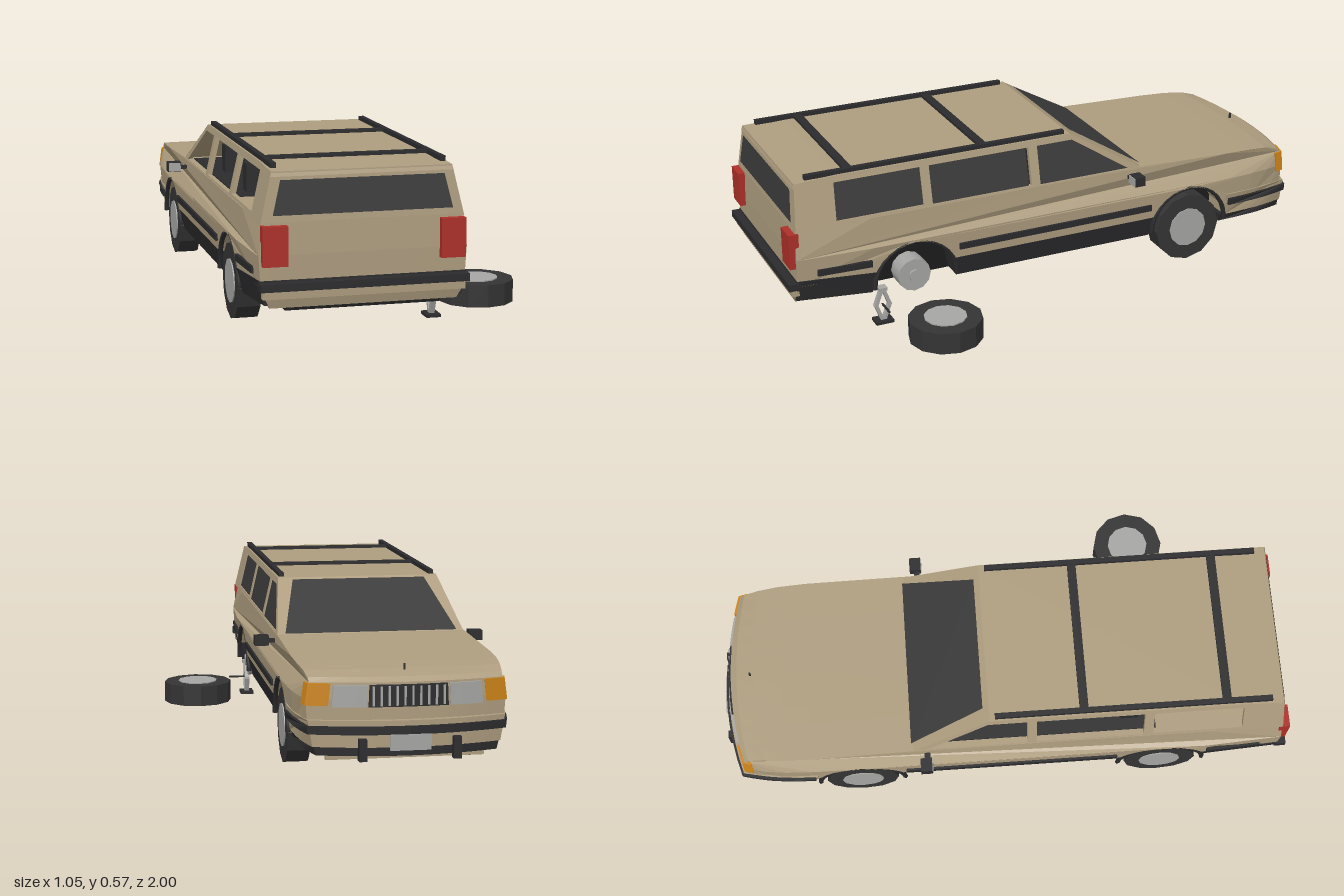
import * as THREE from 'three';

const mat = (name, color, opt = {}) => {
  const m = new THREE.MeshStandardMaterial({ color, ...opt });
  m.name = name;
  return m;
};

export function createModel() {
  const tan = mat('tan paint', 0xae9d7f), dark = mat('dark trim', 0x2c2c2e), glass = mat('dark glass', 0x3a3a3a);
  const under = mat('underside black', 0x1c1c1c), red = mat('tail light red', 0xae3029), amber = mat('amber', 0xcc8418);
  const grey = mat('light grey metal', 0xa6a6a4), rubber = mat('tyre rubber', 0x343435);
  tan.side = glass.side = THREE.DoubleSide;

  const root = new THREE.Group(), car = new THREE.Group();
  car.name = 'stationWagon';
  car.position.x = -0.13;
  root.add(car);

  const add = (name, geo, m, x = 0, y = 0, z = 0, parent = car) => {
    const mesh = new THREE.Mesh(geo, m);
    mesh.name = name;
    mesh.position.set(x, y, z);
    parent.add(mesh);
    return mesh;
  };
  const box = (name, m, w, h, d, x, y, z, parent) => add(name, new THREE.BoxGeometry(w, h, d), m, x, y, z, parent);

  // Extrude a side outline of [z, y] points across x; place(d, y, z) gives the final [x, z]
  function sweep(name, m, pts, place, steps = 1, holes = []) {
    const vec = (p) => p.map(([z, y]) => new THREE.Vector2(-z, y));
    const shape = new THREE.Shape(vec(pts));
    shape.holes = holes.map((h) => new THREE.Path(vec(h)));
    const geo = new THREE.ExtrudeGeometry(shape, { depth: 1, steps, bevelEnabled: false }).rotateY(Math.PI / 2);
    const p = geo.attributes.position;
    for (let i = 0; i < p.count; i++) {
      const [x, z] = place(p.getX(i), p.getY(i), p.getZ(i));
      p.setX(i, x);
      p.setZ(i, z);
    }
    geo.computeVertexNormals();
    return add(name, geo, m);
  }

  // Half width of the body, narrowing at the sill, belt line, nose and tail
  const widths = [[0.1, 0.318], [0.2, 0.343], [0.3, 0.349], [0.41, 0.325]];
  function half(y, z) {
    let i = 0;
    while (i < 2 && y > widths[i + 1][0]) i++;
    const [a, b] = [widths[i], widths[i + 1]];
    const w = a[1] + (b[1] - a[1]) * (y - a[0]) / (b[0] - a[0]);
    return w - 0.03 * Math.max(0, (-z - 0.65) / 0.32) ** 2 - 0.015 * Math.max(0, (z - 0.7) / 0.27);
  }
  // Placement across the body from t0 to t1 (-1..1), with the nose bowed in plan
  const across = (t0 = -1, t1 = 1, grow = 0) => (d, y, z) => {
    const t = t0 + (t1 - t0) * d;
    return [t * (half(y, z) + grow), z + 0.04 * t * t * Math.max(0, (-z - 0.82) / 0.14)];
  };
  // Thin plate on one body side
  const onSide = (s, out, inn = 0.012) => (d, y, z) => {
    const w = half(y, z), [a, b] = s > 0 ? [w - inn, w + out] : [-w - out, -w + inn];
    return [a + (b - a) * d, z];
  };
  const band = (z0, z1, y0, y1, n = 6) => {
    const zs = Array.from({ length: n + 1 }, (_, i) => z0 + (z1 - z0) * i / n);
    return [...zs.map((z) => [z, y0]), ...zs.reverse().map((z) => [z, y1])];
  };

  // Lower body with wheel arches
  const R = 0.152, archY = 0.14, wheelZ = [0.55, -0.52];
  const arch = (zc) => {
    const a0 = Math.asin((0.2 - archY) / R);
    return Array.from({ length: 11 }, (_, i) => {
      const a = a0 + (Math.PI - 2 * a0) * i / 10;
      return [zc + R * Math.cos(a), archY + R * Math.sin(a)];
    });
  };
  const noseZ = [-0.68, -0.78, -0.87];
  const tops = [-0.965, -0.87, -0.78, -0.68, -0.52, -0.35, 0, 0.4, 0.55, 0.7, 0.97];
  sweep('lowerBody', tan, [[0.97, 0.2], ...arch(wheelZ[0]), [0, 0.2], ...arch(wheelZ[1]),
    ...noseZ.map((z) => [z, 0.2]), [-0.965, 0.2], ...tops.map((z) => [z, 0.3])], across(), 10);

  // Upper body and hood up to the belt line
  sweep('upperBodyAndHood', tan, [...tops.slice().reverse().map((z) => [z, 0.3]), [-0.962, 0.352], [-0.94, 0.366],
    [-0.87, 0.38], [-0.78, 0.387], [-0.68, 0.391], [-0.34, 0.402], [0, 0.402], [0.7, 0.402], [0.966, 0.402]], across(), 10);

  // Dark sills and floor
  sweep('sillMiddle', dark, [[0.395, 0.125], [0.41, 0.2], [-0.38, 0.2], [-0.365, 0.125]], across());
  sweep('sillRear', dark, [[0.705, 0.125], [0.69, 0.205], [0.972, 0.222], [0.972, 0.145]], across(-1, 1, 0.003));
  box('floor', under, 0.5, 0.17, 1.62, 0, 0.208, 0.15);

  // Front bumper in layers
  sweep('frontBumper', tan, band(-0.675, -0.985, 0.15, 0.235), across(-1, 1, 0.003), 10);
  sweep('frontBumperStrip', dark, band(-0.685, -0.995, 0.192, 0.218), across(-1, 1, 0.01), 10);
  sweep('frontSpoiler', dark, band(-0.66, -0.98, 0.122, 0.152), across(-1, 1, -0.002), 10);
  box('spoilerLip', tan, 0.51, 0.025, 0.02, 0, 0.112, -0.9);
  box('frontPlate', grey, 0.13, 0.05, 0.012, 0, 0.168, -0.995);
  for (const s of [-1, 1]) box('bumperGuard', dark, 0.025, 0.07, 0.03, s * 0.15, 0.145, -0.982);

  // Grille and lamps
  sweep('grille', dark, band(-0.94, -0.969, 0.275, 0.345, 1), across(-0.4, 0.4), 6);
  for (let i = 0; i < 10; i++) box('grilleBar', grey, 0.007, 0.062, 0.006, (i - 4.5) * 0.025, 0.31, -0.967);
  for (const s of [-1, 1]) {
    const span = (a, b, g) => (s > 0 ? across(a, b, g) : across(-b, -a, g));
    sweep('headlight', grey, band(-0.94, -0.971, 0.275, 0.345, 1), span(0.42, 0.76, 0), 3);
    sweep('turnSignal', amber, band(-0.925, -0.971, 0.28, 0.35, 1), span(0.78, 1, 0.006), 3);
  }
  box('hoodOrnament', dark, 0.006, 0.02, 0.006, 0, 0.388, -0.89);

  // Rear bumper and tail lights
  box('rearBumper', tan, 0.65, 0.045, 0.025, 0, 0.188, 0.975);
  sweep('rearApron', tan, [[0.93, 0.135], [0.93, 0.17], [0.982, 0.17], [0.972, 0.135]], (d, y, z) => [(d - 0.5) * (0.6 + (y - 0.135)), z]);
  box('rearBumperStrip', dark, 0.67, 0.025, 0.04, 0, 0.204, 0.98);
  for (const s of [-1, 1]) box('tailLight', red, 0.08, 0.125, 0.035, s * 0.285, 0.33, 0.973);

  // Side rubbing strips and arch lips
  for (const s of [-1, 1]) {
    sweep('sideStrip', dark, band(0.39, -0.36, 0.232, 0.255, 3), onSide(s, 0.008));
    sweep('sideStripRear', dark, band(0.9, 0.71, 0.232, 0.255, 3), onSide(s, 0.008));
    for (const z of wheelZ) {
      const lip = new THREE.TorusGeometry(R, 0.009, 5, 14, Math.PI).rotateY(Math.PI / 2);
      add('archLip', lip, dark, s * 0.34, archY, z);
    }
  }

  // Greenhouse: side frames with window openings
  const cabin = (y) => 0.325 - (y - 0.4) * 0.232;
  const frame = [[0.965, 0.395], [0.95, 0.556], [-0.07, 0.556], [-0.335, 0.395]];
  const windows = [
    [[0.82, 0.412], [0.815, 0.54], [0.508, 0.54], [0.508, 0.412]],
    [[0.475, 0.408], [0.475, 0.54], [0.103, 0.54], [0.103, 0.408]],
    [[0.07, 0.405], [0.07, 0.54], [-0.065, 0.54], [-0.275, 0.405]],
  ];
  for (const s of [-1, 1]) {
    const layer = (o, i) => (d, y, z) => {
      const w = cabin(y), a = s > 0 ? w - i : -w - o;
      return [a + d * (o + i), z];
    };
    sweep('sideFrame', tan, frame, layer(0, 0.016), 1, windows);
    if (s > 0) windows.forEach((w) => sweep('sideGlass', glass, w.map(([z, y]) => [z === 0.103 ? 0.113 : z, y]), layer(-0.004, 0.009)));
  }
  sweep('roof', tan, [[0.955, 0.54], [0.95, 0.556], [0.8, 0.562], [-0.06, 0.562], [-0.08, 0.55], [-0.05, 0.54]],
    (d, y, z) => [(d * 2 - 1) * cabin(y), z]);

  // Flat panels given by bottom and top edges: [half width, y, z]
  function panel(name, m, [w0, y0, z0], [w1, y1, z1], flip) {
    const g = new THREE.BufferGeometry();
    g.setAttribute('position', new THREE.Float32BufferAttribute([-w0, y0, z0, w0, y0, z0, w1, y1, z1, -w1, y1, z1], 3));
    g.setIndex(flip ? [0, 2, 1, 0, 3, 2] : [0, 1, 2, 0, 2, 3]);
    g.computeVertexNormals();
    add(name, g, m);
  }
  panel('windshieldFrame', tan, [0.325, 0.398, -0.335], [0.289, 0.556, -0.07], true);
  panel('windshield', glass, [0.299, 0.406, -0.334], [0.237, 0.557, -0.08], true);
  panel('tailgateFrame', tan, [0.325, 0.395, 0.966], [0.289, 0.556, 0.951], false);
  panel('rearWindow', glass, [0.288, 0.422, 0.968], [0.262, 0.53, 0.958], false);

  // Cabin interior
  box('cabinFloor', dark, 0.6, 0.004, 0.8, 0, 0.404, 0.12);
  for (const s of [-1, 1]) {
    box('frontSeat', dark, 0.2, 0.1, 0.06, s * 0.15, 0.45, 0.03);
    box('rearSeat', dark, 0.22, 0.1, 0.06, s * 0.15, 0.45, 0.43);
  }

  // Roof rack
  for (const s of [-1, 1]) box('roofRail', dark, 0.018, 0.016, 0.95, s * 0.272, 0.568, 0.435);
  for (const z of [0.265, 0.755]) box('roofCrossbar', dark, 0.54, 0.01, 0.03, 0, 0.569, z);

  // Door mirrors
  for (const s of [-1, 1]) {
    box('mirrorArm', dark, 0.05, 0.012, 0.02, s * 0.34, 0.375, -0.28);
    box('mirrorHousing', dark, 0.048, 0.034, 0.04, s * 0.376, 0.378, -0.285);
    box('mirrorGlass', grey, 0.044, 0.03, 0.004, s * 0.376, 0.378, -0.264);
  }

  // Wheels: axis along x, outer face at +x
  function wheel(name, parent, x, y, z, s) {
    const g = new THREE.Group();
    g.name = name;
    const tyre = new THREE.CylinderGeometry(0.128, 0.128, 0.076, 12).toNonIndexed();
    tyre.computeVertexNormals();
    add('tyre', tyre.rotateZ(Math.PI / 2), rubber, 0, 0, 0, g);
    add('hubcap', new THREE.CylinderGeometry(0.074, 0.074, 0.084, 12).rotateZ(Math.PI / 2), grey, 0, 0, 0, g);
    g.position.set(x, y, z);
    if (s < 0) g.rotation.y = Math.PI;
    parent.add(g);
    return g;
  }
  wheel('frontLeftWheel', car, 0.298, 0.131, wheelZ[1], 1);
  wheel('frontRightWheel', car, -0.298, 0.131, wheelZ[1], -1);
  wheel('rearRightWheel', car, -0.298, 0.131, wheelZ[0], -1);
  add('brakeDrum', new THREE.CylinderGeometry(0.06, 0.06, 0.07, 12).rotateZ(Math.PI / 2), grey, 0.29, 0.157, wheelZ[0]);
  add('wheelHub', new THREE.CylinderGeometry(0.022, 0.022, 0.09, 8).rotateZ(Math.PI / 2), grey, 0.29, 0.157, wheelZ[0]);

  // Removed wheel lying on the ground
  wheel('looseWheel', root, 0.395, 0.047, 0.52, 1).rotation.z = Math.PI / 2;

  // Scissor jack holding up the car
  const jack = new THREE.Group();
  jack.name = 'jack';
  jack.position.set(0.187, 0, 0.668);
  root.add(jack);
  box('jackBase', dark, 0.05, 0.01, 0.065, 0, 0.006, 0, jack);
  box('jackTop', grey, 0.03, 0.012, 0.03, 0, 0.128, 0, jack);
  for (const s of [-1, 1]) {
    box('jackLowerArm', grey, 0.018, 0.072, 0.012, 0, 0.038, s * 0.014, jack).rotation.x = s * 0.35;
    box('jackUpperArm', grey, 0.018, 0.072, 0.012, 0, 0.096, s * 0.014, jack).rotation.x = -s * 0.35;
  }
  box('jackHandle', dark, 0.07, 0.006, 0.006, 0.035, 0.067, 0, jack);
  return root;
}
